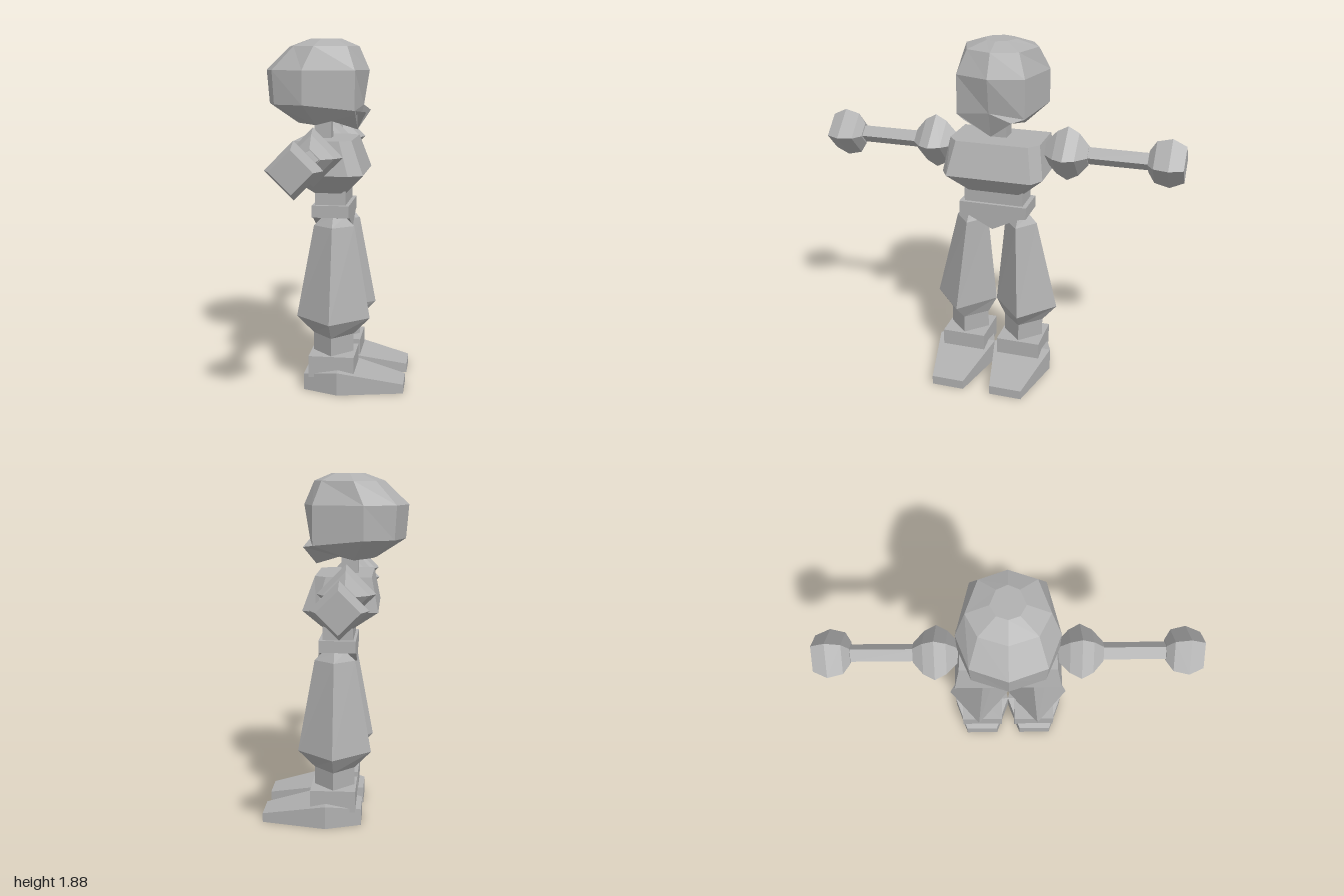
import * as THREE from 'three';

const grey = new THREE.MeshStandardMaterial({ color: 0xb0b0b0, flatShading: true });
grey.name = 'plain grey';

// Skin a list of equal-length point rings and close both ends; faces always point outward
function loft(name, rings) {
  const tris = [];
  const n = rings[0].length;
  for (let r = 0; r < rings.length - 1; r++) {
    for (let i = 0; i < n; i++) {
      const j = (i + 1) % n;
      const a = rings[r][i], b = rings[r][j], c = rings[r + 1][j], d = rings[r + 1][i];
      tris.push([a, b, c], [a, c, d]);
    }
  }
  const cap = (ring, flip) => {
    const mid = [0, 1, 2].map(k => ring.reduce((s, p) => s + p[k], 0) / n);
    ring.forEach((p, i) => {
      const q = ring[(i + 1) % n];
      tris.push(flip ? [mid, q, p] : [mid, p, q]);
    });
  };
  cap(rings[0], true);
  cap(rings[rings.length - 1], false);
  // A negative volume means the rings wind inward
  let volume = 0;
  const v = p => new THREE.Vector3(...p);
  for (const [a, b, c] of tris) volume += v(a).dot(v(b).cross(v(c)));
  if (volume < 0) tris.forEach(t => t.reverse());
  const geo = new THREE.BufferGeometry();
  geo.setAttribute('position', new THREE.Float32BufferAttribute(tris.flat(2), 3));
  geo.computeVertexNormals();
  const mesh = new THREE.Mesh(geo, grey);
  mesh.name = name;
  return mesh;
}

function box(name, x0, x1, y0, y1, z0, z1) {
  const mesh = new THREE.Mesh(new THREE.BoxGeometry(x1 - x0, y1 - y0, z1 - z0), grey);
  mesh.position.set((x0 + x1) / 2, (y0 + y1) / 2, (z0 + z1) / 2);
  mesh.name = name;
  return mesh;
}

// Ring from a back-to-front half outline, mirrored across z = 0
const mirrorRing = half => [...half, ...half.slice(1, -1).reverse().map(([x, y, z]) => [x, y, -z])];
const levelRing = (y, half) => mirrorRing(half.map(([x, z]) => [x, y, z]));

// Diamond sections: upright for legs, sideways for arms
const legRing = (y, rx, cz, rz) => [[rx, y, cz], [0, y, cz + rz], [-rx, y, cz], [0, y, cz - rz]];
const armRing = (z, r) => [[-0.075 + r, 1.285, z], [-0.075, 1.285 + r, z], [-0.075 - r, 1.285, z], [-0.075, 1.285 - r, z]];

function buildHead() {
  return loft('head', [
    levelRing(1.885, [[-0.15, 0], [-0.13, 0.055], [-0.075, 0.085], [0.0, 0.055], [0.025, 0]]),
    levelRing(1.845, [[-0.26, 0], [-0.215, 0.14], [-0.1, 0.2], [0.07, 0.14], [0.12, 0]]),
    levelRing(1.72, [[-0.39, 0], [-0.325, 0.185], [-0.155, 0.25], [0.115, 0.185], [0.175, 0]]),
    mirrorRing([[-0.375, 1.54, 0], [-0.315, 1.54, 0.18], [-0.155, 1.54, 0.25], [0.115, 1.51, 0.185], [0.145, 1.535, 0]]),
    mirrorRing([[-0.22, 1.44, 0], [-0.2, 1.44, 0.09], [-0.1, 1.43, 0.13], [0.17, 1.5, 0.13], [0.11, 1.4, 0]]),
  ]);
}

// Flat-backed chest with chamfered front corners
function buildChest() {
  const ring = (y, back, side, front, zSide, zFront) => [
    [back, y, zSide], [side, y, zSide], [front, y, zFront],
    [front, y, -zFront], [side, y, -zSide], [back, y, -zSide],
  ];
  return loft('chest', [
    ring(1.355, -0.2, 0.04, 0.1, 0.25, 0.2),
    ring(1.175, -0.235, 0.09, 0.165, 0.28, 0.235),
    ring(1.07, -0.1, 0.04, 0.065, 0.165, 0.14),
  ]);
}

// Belt that runs down to a point between the legs
function buildPelvis() {
  const outline = [[0.19, 1.005], [0.19, 0.94], [0.14, 0.93], [0, 0.86], [-0.14, 0.93], [-0.19, 0.94], [-0.19, 1.005]];
  return loft('pelvis', [-0.115, 0.085].map(x => outline.map(([z, y]) => [x, y, z])));
}

function buildArm(s) {
  const arm = new THREE.Group();
  arm.name = s > 0 ? 'rightSideArm' : 'leftSideArm';
  const part = (name, sections) => arm.add(loft(name, sections.map(([z, r]) => armRing(s * z, r))));
  part('shoulder', [[0.255, 0.055], [0.315, 0.12], [0.375, 0.152], [0.435, 0.12], [0.49, 0.055]]);
  part('forearm', [[0.45, 0.048], [0.84, 0.048]]);
  part('fist', [[0.81, 0.06], [0.845, 0.115], [0.925, 0.135], [1.0, 0.1]]);
  return arm;
}

function buildLeg(s) {
  const leg = new THREE.Group();
  leg.name = s > 0 ? 'rightSideLeg' : 'leftSideLeg';
  leg.add(loft('trouserLeg', [
    legRing(0.94, 0.06, s * 0.14, 0.045),
    legRing(0.89, 0.11, s * 0.14, 0.09),
    legRing(0.39, 0.2, s * 0.177, 0.177),
    legRing(0.295, 0.11, s * 0.162, 0.112),
  ]));
  leg.add(loft('ankle', [0.31, 0.18].map(y => legRing(y, 0.11, s * 0.162, 0.112))));
  leg.add(box('cuff', -0.12, 0.125, 0.08, 0.197, s * 0.162 - 0.123, s * 0.162 + 0.123));
  // Foot: heel, wide instep, tapered toe
  leg.add(loft('foot', [[-0.15, 0.09, 0.095], [0.04, 0.125, 0.167], [0.39, 0.05, 0.09]].map(([x, h, w]) => {
    const c = s * 0.167;
    return [[x, 0, c - w], [x, h, c - w], [x, h, c + w], [x, 0, c + w]];
  })));
  return leg;
}

export function createModel() {
  const model = new THREE.Group();
  model.name = 'figure';
  model.add(
    buildHead(),
    box('neck', -0.12, -0.03, 1.33, 1.5, -0.045, 0.045),
    buildChest(),
    box('waist', -0.1, 0.065, 0.98, 1.08, -0.165, 0.165),
    buildPelvis(),
  );
  for (const s of [1, -1]) model.add(buildArm(s), buildLeg(s));
  return model;
}
